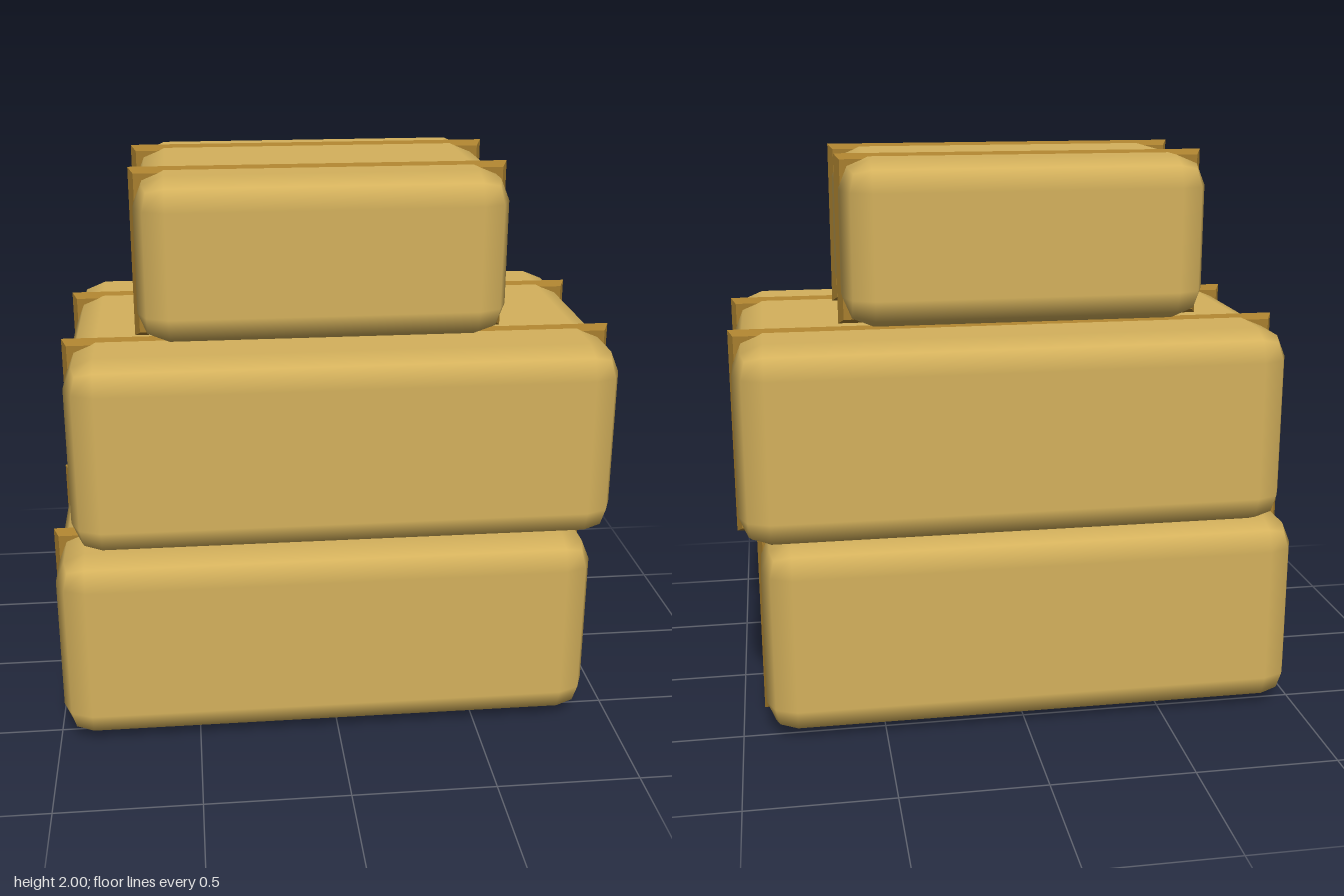
import * as THREE from 'three';
import { RoundedBoxGeometry } from 'three/addons/geometries/RoundedBoxGeometry.js';

const straw = new THREE.MeshStandardMaterial({ name: 'straw', color: 0xd4b15c });
const twine = new THREE.MeshStandardMaterial({ name: 'twine', color: 0xa87f2e, flatShading: true });

// Each bale and the outer bounds of its two straps: [min, max] pairs, and strap z positions
const bales = [
  { name: 'bottomBale', x: [-0.985, 0.915], y: [0.015, 0.712], z: [-0.59, 0.62],
    strapX: [-1, 0.926], strapY: [0, 0.722], strapZ: [0.317, -0.287] },
  { name: 'middleBale', x: [-0.92, 0.98], y: [0.714, 1.412], z: [-0.614, 0.595],
    strapX: [-0.932, 0.992], strapY: [0.702, 1.423], strapZ: [0.292, -0.313] },
  { name: 'topBale', x: [-0.665, 0.6], y: [1.42, 1.99], z: [-0.43, 0.46],
    strapX: [-0.68, 0.612], strapY: [1.412, 2], strapZ: [0.238, -0.207] },
];

const size = ([a, b]) => b - a;
const mid = ([a, b]) => (a + b) / 2;

// Rectangular ring of hexagonal cross-section: a square ring whose corners are moved out
function strapGeometry(width, height) {
  const r = 0.05;
  const g = new THREE.TorusGeometry(Math.SQRT2 - r, r, 6, 4);
  g.rotateZ(Math.PI / 4);
  g.scale(1, 1, 0.031 / (r * Math.sin(Math.PI / 3)));
  const p = g.attributes.position;
  for (let i = 0; i < p.count; i++) {
    const x = p.getX(i), y = p.getY(i);
    p.setX(i, x + Math.sign(x) * (width / 2 - 1));
    p.setY(i, y + Math.sign(y) * (height / 2 - 1));
  }
  g.computeVertexNormals();
  return g;
}

export function createModel() {
  const model = new THREE.Group();
  model.name = 'strawBaleStack';
  for (const b of bales) {
    const group = new THREE.Group();
    group.name = b.name;

    // Packed straw block with softly rounded edges
    const block = new THREE.Mesh(
      new RoundedBoxGeometry(size(b.x), size(b.y), size(b.z), 1, 0.105), straw);
    block.name = 'strawBlock';
    block.position.set(mid(b.x), mid(b.y), mid(b.z));
    group.add(block);

    // Straps wrapped around the block
    const geometry = strapGeometry(size(b.strapX), size(b.strapY));
    b.strapZ.forEach((z, i) => {
      const strap = new THREE.Mesh(geometry, twine);
      strap.name = i === 0 ? 'frontStrap' : 'backStrap';
      strap.position.set(mid(b.strapX), mid(b.strapY), z);
      group.add(strap);
    });
    model.add(group);
  }
  return model;
}
